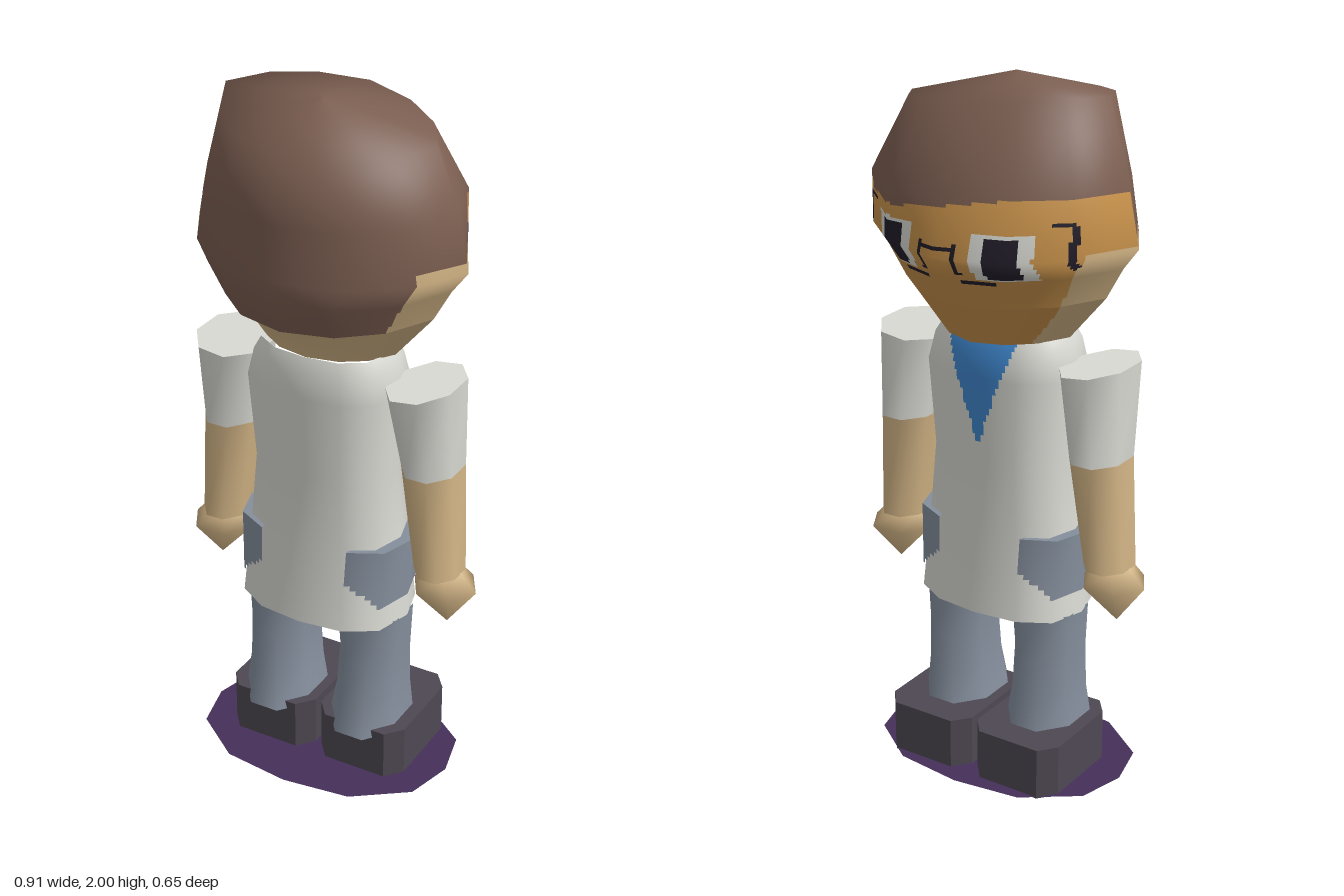
import * as THREE from 'three';

const mat = (name, color, side = THREE.FrontSide) => {
  const m = new THREE.MeshStandardMaterial({ color, side });
  m.name = name;
  return m;
};

// Twelve-sided outlines, starting at +x and turning towards +z
const HEAD = [[1, 0], [0.78, 0.52], [0.45, 0.86], [0, 1], [-0.45, 0.86], [-0.78, 0.52],
  [-1, 0], [-0.78, -0.5], [-0.45, -0.83], [0, -1], [0.45, -0.83], [0.78, -0.5]];
const TORSO = [[1, 0], [0.88, 0.62], [0.52, 0.92], [0, 1], [-0.52, 0.92], [-0.88, 0.62],
  [-1, 0], [-0.88, -0.62], [-0.52, -0.92], [0, -1], [0.52, -0.92], [0.88, -0.62]];

// One body ring: half width, both z limits, and a slope for the crown
const bodyRing = (outline) => (y, rx, zf, zb, tilt = 0, cz = 0.03) => outline.map(([bx, bz]) => {
  const x = bx * rx;
  const z = cz + bz * (bz > 0 ? zb - cz : cz - zf);
  return new THREE.Vector3(x, y - tilt * (x + z), z);
});

// One elliptical ring with n sides; a lower power makes it boxier
const ring = (n, turn, power = 1) => ([y, cx, cz, rx, rz]) => Array.from({ length: n }, (_, i) => {
  const a = (i + turn) / n * Math.PI * 2;
  const bend = (v) => Math.sign(v) * Math.abs(v) ** power;
  return new THREE.Vector3(cx + rx * bend(Math.cos(a)), y, cz + rz * bend(Math.sin(a)));
});

// Skin over rings (bottom to top); a repeated ring makes a sharp edge.
// Each segment is split into sub x sub cells; paint picks a material per cell, or -1 for none.
function loft(rings, sub = 1, paint = () => 0) {
  const n = rings[0].length;
  const coarse = new THREE.BufferGeometry().setFromPoints(rings.flat());
  const ci = [];
  for (let r = 0; r < rings.length - 1; r++) for (let j = 0; j < n; j++) {
    const a = r * n + j, b = r * n + (j + 1) % n;
    ci.push(a, a + n, b, b, a + n, b + n);
  }
  coarse.setIndex(ci);
  coarse.computeVertexNormals();
  const N = coarse.attributes.normal;
  const normals = rings.map((pts, r) => pts.map((_, j) => new THREE.Vector3().fromBufferAttribute(N, r * n + j)));

  const cols = n * sub, rows = (rings.length - 1) * sub;
  const sample = (grid, i, j) => {
    const r = Math.min(Math.floor(i / sub), rings.length - 2), v = i / sub - r;
    const c = Math.floor(j / sub) % n, d = (c + 1) % n, u = (j % sub) / sub;
    return grid[r][c].clone().lerp(grid[r][d], u).lerp(grid[r + 1][c].clone().lerp(grid[r + 1][d], u), v);
  };
  const pos = [], nor = [];
  for (let i = 0; i <= rows; i++) for (let j = 0; j < cols; j++) {
    pos.push(sample(rings, i, j));
    nor.push(...sample(normals, i, j).normalize().toArray());
  }
  const lists = [];
  for (let i = 0; i < rows; i++) for (let j = 0; j < cols; j++) {
    const a = i * cols + j, b = i * cols + (j + 1) % cols, d = a + cols, c = b + cols;
    const m = pos[a].clone().add(pos[b]).add(pos[c]).add(pos[d]).multiplyScalar(0.25);
    const k = paint(m.x, m.y, m.z);
    if (k >= 0) (lists[k] ||= []).push(a, d, b, b, d, c);
  }
  const g = new THREE.BufferGeometry().setFromPoints(pos);
  g.setAttribute('normal', new THREE.Float32BufferAttribute(nor, 3));
  const index = [];
  lists.forEach((list, k) => {
    g.addGroup(index.length, list.length, k);
    for (const v of list) index.push(v);
  });
  g.setIndex(index);
  return g;
}

// Sharp-edged copy of a geometry
const faceted = (g) => {
  const f = g.toNonIndexed();
  f.computeVertexNormals();
  return f;
};

// Head colours: 0 hair, 1 skin, 2 face, 3 eye white, 4 ink
function paintHead(x, y, z) {
  const ax = Math.abs(x);
  const within = (x0, x1, y0, y1) => ax > x0 && ax < x1 && y > y0 && y < y1;
  const hairline = 1.715 - 0.15 * THREE.MathUtils.clamp(x, -0.15, 0.15) + 1.5 * Math.max(0, x - 0.29);
  if (y > Math.min(hairline, 1.75)) return 0;
  const edge = y > 1.58 ? -0.115 : -0.115 + (1.58 - y) * 0.16;
  if (z < edge) {
    if (within(0.12, 0.205, 1.535, 1.65)) return 4;
    if (within(0.09, 0.235, 1.53, 1.66)) return 3;
    if (within(0.304, 0.318, 1.55, 1.68) || within(0.26, 0.318, 1.67, 1.682)) return 4;
    if (within(0.045, 0.058, 1.54, 1.63) || within(0.045, 0.14, 1.512, 1.522)) return 4;
    if (within(0, 0.045, 1.61, 1.62)) return 4;
    return 2;
  }
  if (x < 0 && z < 0.03 && y > 1.6) return 2;
  if (y > 1.62 || (z > 0.165 && y > 1.438)) return 0;
  return 1;
}

export function createModel() {
  const hair = mat('hair brown', 0x7a5d50);
  const skin = mat('skin', 0xd3b586);
  const face = mat('face tan', 0xc8924b);
  const coat = mat('coat white', 0xd9d9d3);
  const trousers = mat('trouser grey', 0x858f9d);
  const shoe = mat('shoe charcoal', 0x4e4852);
  const tie = mat('tie blue', 0x3f87cf);
  const ink = mat('ink black', 0x211d29);
  const base = mat('base purple', 0x45305a, THREE.DoubleSide);

  const model = new THREE.Group();
  const add = (name, geometry, material) => {
    const m = new THREE.Mesh(geometry, material);
    m.name = name;
    model.add(m);
    return m;
  };

  // Head with hair, face, eyes and glasses; the fringe is fuller on the left
  const headRing = bodyRing(HEAD);
  const chin = headRing(1.31, 0.2, -0.15, 0.16);
  const nape = headRing(1.44, 0.31, -0.235, 0.225);
  const hairEdge = headRing(1.44, 0.31, -0.235, 0.29);
  const fringe = headRing(1.74, 0.375, -0.265, 0.315);
  fringe[10].set(0.18, 1.72, -0.265);
  fringe[11].set(0.31, 1.74, -0.155);
  add('head', loft([
    headRing(1.31, 0, 0.03, 0.03), chin, chin, nape, hairEdge, hairEdge,
    headRing(1.53, 0.36, -0.285, 0.325),
    headRing(1.59, 0.405, -0.325, 0.32),
    fringe,
    headRing(1.95, 0.31, -0.185, 0.3, 0.1),
    headRing(2.0, 0, 0.07, 0.07, 0, 0.07),
  ], 16, paintHead), [hair, skin, face, coat, ink]);

  // Coat with the neckerchief
  const coatRing = bodyRing(TORSO);
  const hem = coatRing(0.5, 0.25, -0.14, 0.21);
  const waist = coatRing(0.75, 0.225, -0.12, 0.185);
  add('coat', loft([
    coatRing(0.5, 0, 0.03, 0.03), hem, hem, waist,
    coatRing(0.95, 0.205, -0.115, 0.18),
    coatRing(1.2, 0.225, -0.125, 0.195),
    coatRing(1.28, 0.205, -0.11, 0.185),
    coatRing(1.315, 0.185, -0.09, 0.17),
  ], 12, (x, y, z) => (z < -0.03 && Math.abs(x) < 0.35 * (y - 1.0) ? 1 : 0)), [coat, tie]);

  // Hip pockets wrapping round both sides of the coat, open in the middle
  const pocketTop = coatRing(0.75, 0.258, -0.125, 0.19);
  add('pockets', loft([coatRing(0.57, 0.25, -0.139, 0.207), pocketTop, pocketTop, waist], 12,
    (x, y) => (Math.abs(x) > 0.135 + Math.max(0, 0.65 - y) * 1.1 ? 0 : -1)), [trousers]);

  // Paired parts
  const round = ring(8, 0.5), boxy = ring(8, 0.5, 0.4), hex = ring(6, 0);
  for (const [s, side] of [[1, 'left'], [-1, 'right']]) {
    const part = (name, section, rows, material, flat) => {
      const rings = rows.map(([y, cx, ...rest]) => section([y, s * cx, ...rest]));
      const g = loft(rings);
      add(side + name, flat ? faceted(g) : g, material);
      return g;
    };

    part('Leg', round, [[0.13, 0.142, 0.035, 0.116, 0.152], [0.24, 0.145, 0.03, 0.1, 0.135],
      [0.37, 0.148, 0.028, 0.095, 0.127], [0.505, 0.146, 0.028, 0.103, 0.132]], trousers);
    part('Shoe', boxy, [[0, 0.147, -0.02, 0, 0], [0, 0.147, -0.02, 0.142, 0.175],
      [0.155, 0.147, -0.02, 0.142, 0.175], [0.155, 0.147, -0.02, 0, 0]], shoe, true);

    // Arm: sleeve with a sloping top, forearm and hand
    const cuff = [1.0, 0.313, 0.015, 0.083, 0.112], shoulder = [1.25, 0.295, 0.032, 0.103, 0.143];
    const sleeve = part('Sleeve', round, [cuff, shoulder, shoulder, [1.25, 0.295, 0.032, 0, 0]], coat);
    const p = sleeve.attributes.position;
    for (let i = 0; i < p.count; i++) {
      if (p.getY(i) > 1.2) p.setY(i, 1.252 + (s * p.getX(i) - 0.295) * 0.13);
    }
    const wrist = [0.68, 0.343, 0.02, 0.069, 0.087];
    part('Forearm', round, [[0.68, 0.343, 0.02, 0, 0], wrist, wrist, cuff], skin);
    part('Hand', hex, [[0.515, 0.37, 0.02, 0, 0], [0.63, 0.36, 0.018, 0.095, 0.095],
      [0.685, 0.35, 0.02, 0.055, 0.06], [0.685, 0.35, 0.02, 0, 0]], skin);
  }

  // Flat base disc
  const disc = new THREE.Shape([[0.385, 0.03], [0.35, 0.17], [0.2, 0.28], [0, 0.305], [-0.2, 0.28], [-0.35, 0.17],
    [-0.385, 0.03], [-0.35, -0.11], [-0.2, -0.22], [0, -0.245], [0.2, -0.22], [0.35, -0.11]]
    .map(([x, z]) => new THREE.Vector2(x, -z)));
  const plate = add('baseDisc', new THREE.ShapeGeometry(disc), base);
  plate.rotation.x = -Math.PI / 2;
  plate.position.y = 0.004;

  return model;
}
